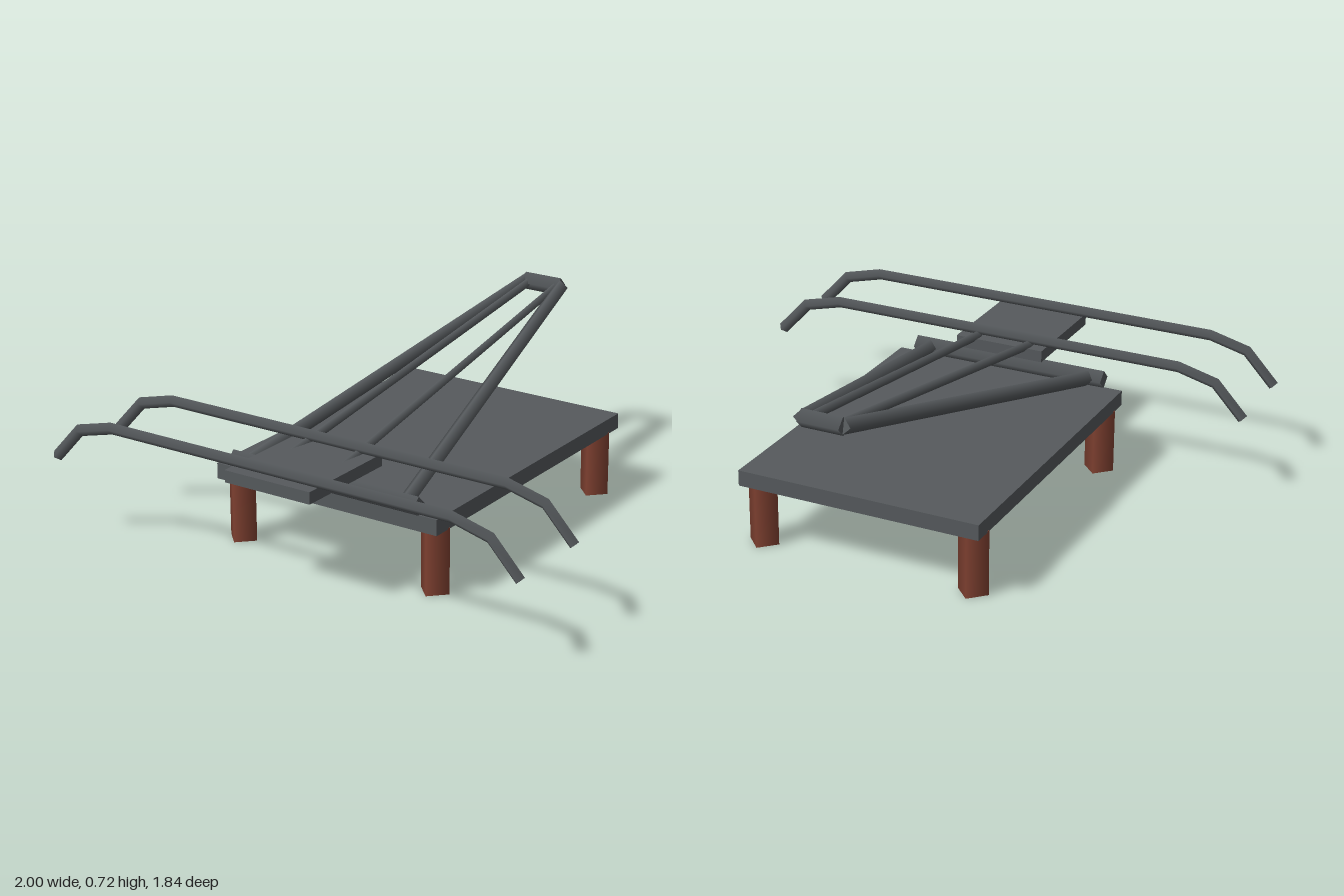
import * as THREE from 'three';

const metal = new THREE.MeshStandardMaterial({ color: 0x565a5d });
metal.name = 'dark grey metal';
const rust = new THREE.MeshStandardMaterial({ color: 0x804131 });
rust.name = 'rust brown';

// Four-sided bar with mitred joints, swept along a polyline
function barGeometry(path, radius) {
  const pts = path.map((p) => new THREE.Vector3(...p));
  const pos = [], nor = [], idx = [];
  const last = pts.length - 1;
  const dir = (i) => pts[i + 1].clone().sub(pts[i]).normalize();
  const rings = pts.map((p, i) => {
    const a = dir(Math.max(i - 1, 0)), b = dir(Math.min(i, last - 1));
    const t = a.clone().add(b).normalize();
    const ref = Math.abs(t.y) > 0.9 ? new THREE.Vector3(0, 0, 1) : new THREE.Vector3(0, 1, 0);
    const side = t.clone().cross(ref).normalize();
    const up = side.clone().cross(t);
    const mitre = 1 / t.dot(a);
    return [side, up.clone().multiplyScalar(mitre), side.clone().negate(), up.clone().multiplyScalar(-mitre)]
      .map((v) => ({ n: v.clone().normalize(), p: p.clone().addScaledVector(v, radius) }));
  });
  const add = (p, n) => { pos.push(...p.toArray()); nor.push(...n.toArray()); };
  rings.forEach((ring) => ring.forEach((c) => add(c.p, c.n)));
  for (let i = 0; i < last; i++) for (let j = 0; j < 4; j++) {
    const a = i * 4 + j, b = i * 4 + (j + 1) % 4;
    idx.push(a, b, b + 4, a, b + 4, a + 4);
  }
  // End caps
  [[0, -1], [last, 1]].forEach(([i, s]) => {
    const o = pos.length / 3, n = dir(i ? last - 1 : 0).multiplyScalar(s);
    rings[i].forEach((c) => add(c.p, n));
    if (s > 0) idx.push(o, o + 1, o + 2, o, o + 2, o + 3);
    else idx.push(o, o + 2, o + 1, o, o + 3, o + 2);
  });
  // Corners run side-to-up around the travel direction, so flip to face outward
  const g = new THREE.BufferGeometry();
  g.setAttribute('position', new THREE.Float32BufferAttribute(pos, 3));
  g.setAttribute('normal', new THREE.Float32BufferAttribute(nor, 3));
  const a = new THREE.Vector3(), b = new THREE.Vector3(), c = new THREE.Vector3(), m = new THREE.Vector3();
  for (let k = 0; k < idx.length; k += 3) {
    [a, b, c].forEach((v, q) => v.fromArray(pos, idx[k + q] * 3));
    m.set(0, 0, 0);
    for (let q = 0; q < 3; q++) m.add(new THREE.Vector3().fromArray(nor, idx[k + q] * 3));
    if (b.sub(a).cross(c.sub(a)).dot(m) < 0) [idx[k + 1], idx[k + 2]] = [idx[k + 2], idx[k + 1]];
  }
  g.setIndex(idx);
  return g;
}

export function createModel() {
  const model = new THREE.Group();
  const add = (name, geometry, material, x = 0, y = 0, z = 0) => {
    const mesh = new THREE.Mesh(geometry, material);
    mesh.name = name;
    mesh.position.set(x, y, z);
    model.add(mesh);
  };
  const bar = (name, path, radius) => add(name, barGeometry(path, radius), metal);

  // Deck and the small front plate
  add('deck', new THREE.BoxGeometry(0.95, 0.06, 1.255), metal, 0, 0.275, -0.0375);
  add('frontPlate', new THREE.BoxGeometry(0.36, 0.045, 0.425), metal, 0, 0.4275, 0.7025);

  // Cross bars at both ends of the boom
  bar('pivotBar', [[-0.4, 0.337, 0.588], [0.4, 0.337, 0.588]], 0.036);
  bar('tipBar', [[-0.08, 0.684, -0.885], [0.08, 0.684, -0.885]], 0.035);

  for (const s of [1, -1]) {
    const side = s > 0 ? 'left' : 'right';
    // Legs, set corner-on
    for (const [end, z] of [['Front', 0.515], ['Back', -0.59]]) {
      add(side + end + 'Leg', new THREE.CylinderGeometry(0.06, 0.06, 0.25, 4), rust, s * 0.42, 0.125, z);
    }
    // Boom arms and thinner inner struts
    bar(side + 'Arm', [[s * 0.337, 0.338, 0.57], [s * 0.08, 0.684, -0.885]], 0.03);
    bar(side + 'Strut', [[s * 0.112, 0.43, 0.64], [s * 0.06, 0.684, -0.885]], 0.019);
  }

  // Long rails with drooping ends
  const half = [[0.72, 0.475], [0.87, 0.437], [0.984, 0.315]];
  for (const [name, z] of [['frontRail', 0.875], ['rearRail', 0.533]]) {
    const path = [
      ...half.slice().reverse().map(([x, y]) => [-x, y, z]),
      ...half.map(([x, y]) => [x, y, z]),
    ];
    bar(name, path, 0.022);
  }
  return model;
}
